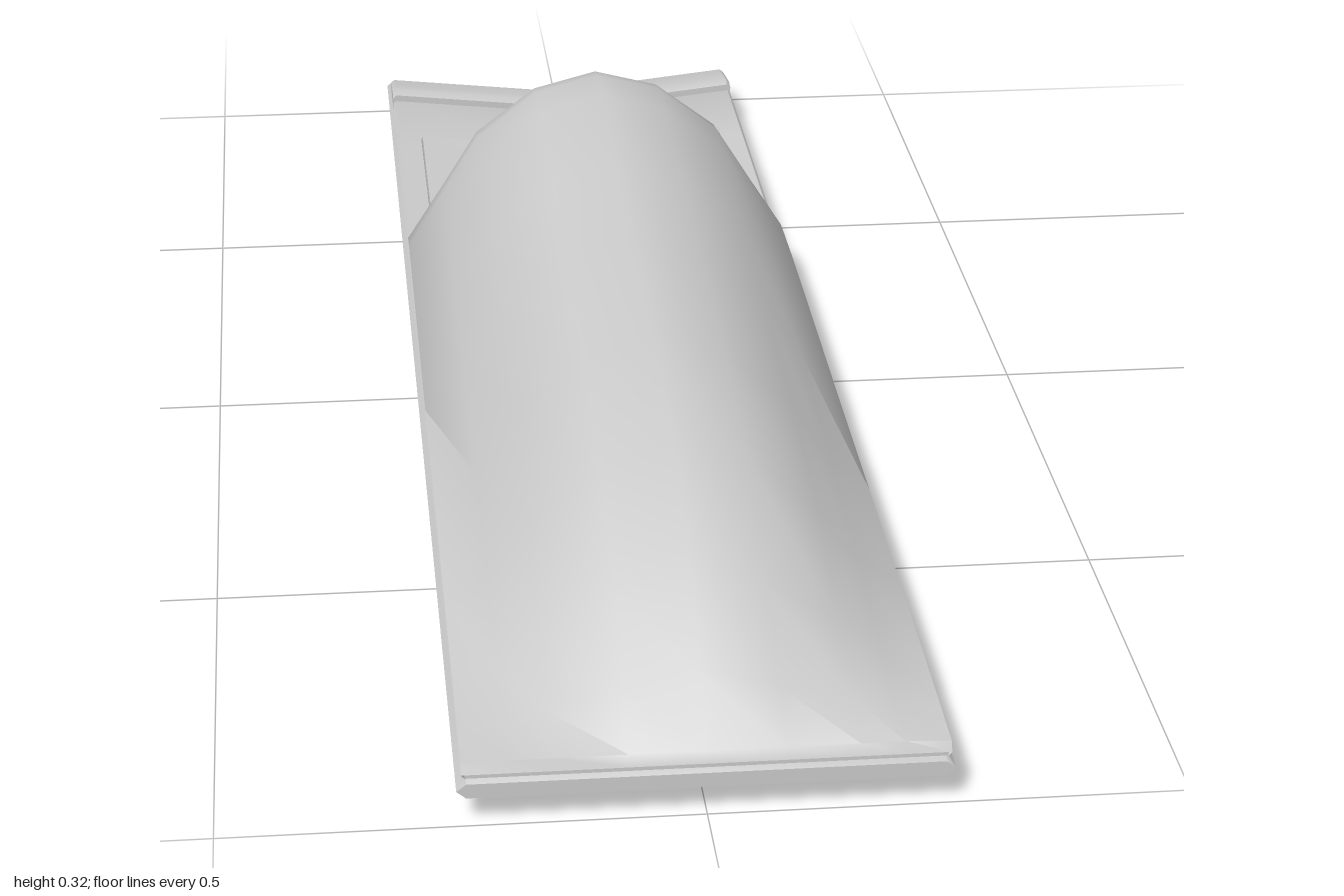
import * as THREE from 'three';
import { toCreasedNormals } from 'three/addons/utils/BufferGeometryUtils.js';

const material = new THREE.MeshStandardMaterial({ color: 0xcccccc, side: THREE.DoubleSide });

// The board is flat at the toe and sags to a shallow V towards the heel.
const sag = (x, z) => -0.027 * Math.min(1, (1 - z) / 1.15) * Math.max(0, 1 - Math.abs(x) / 0.25);

// Skins rows of points; rows run from +z to -z, points counterclockwise seen from +z.
function loft(name, rows, closed, crease) {
  const n = rows[0].length, index = [];
  for (let i = 0; i < rows.length - 1; i++) {
    for (let j = 0; j < (closed ? n : n - 1); j++) {
      const k = (j + 1) % n;
      const a = i * n + j, b = i * n + k, c = (i + 1) * n + k, d = (i + 1) * n + j;
      index.push(a, d, c, a, c, b);
    }
  }
  const geometry = new THREE.BufferGeometry();
  geometry.setAttribute('position', new THREE.Float32BufferAttribute(rows.flat(2), 3));
  geometry.setIndex(index);
  const mesh = new THREE.Mesh(toCreasedNormals(geometry, crease), material);
  mesh.name = name;
  return mesh;
}

// A thin bent slab with bevelled long edges and rounded ends.
function slab(name, w, y, h, z0, z1, bevel) {
  const section = [[-w + bevel, -1], [0, -1], [w - bevel, -1], [w, 0],
    [w - bevel, 1], [0, 1], [-w + bevel, 1], [-w, 0]];
  const row = (z, t) => section.map(([x, s]) => [x, y + sag(x, z) + s * h * t, z]);
  const rows = [row(z0, 0), row(z0, 0.6), row(z0 - bevel, 1)];
  for (let i = 1; i < 10; i++) rows.push(row(z0 + (z1 - z0) * i / 10, 1));
  rows.push(row(z1 + bevel, 1), row(z1, 0.6), row(z1, 0));
  return loft(name, rows, true, 0.75);
}

// Raised lip across the heel, sloping down to the back edge.
function heelLip() {
  const profile = [[-0.885, 0.045], [-0.885, 0.07], [-0.9, 0.073], [-0.93, 0.068],
    [-0.975, 0.06], [-0.995, 0.052], [-1, 0.04], [-0.98, 0.035]];
  const xs = [-0.25, -0.245, 0, 0.245, 0.25];
  const rows = profile.map(([z, y]) => xs.map((x) =>
    [x, y + sag(x, z) - (Math.abs(x) > 0.247 ? 0.005 : 0), z]).reverse());
  const lip = new THREE.Group();
  lip.name = 'heelLip';
  lip.add(loft('heelLipTop', rows, false, 0.8));
  // end faces of the lip
  for (const j of [0, 4]) {
    const side = rows.map((r) => [r[j], [r[j][0], 0.035, r[j][2]]]);
    lip.add(loft('heelLipEnd', side, false, 0.5));
  }
  return lip;
}

// Arched cover, open at the back, with a turned-in rim.
function cover() {
  // z, then heights at the crown, upper shoulder, lower shoulder, flank, and skirt
  const stations = [
    [1, 0.06, 0.06, 0.06, 0.06, 0.06],
    [0.995, 0.072, 0.072, 0.072, 0.072, 0.07],
    [0.93, 0.125, 0.105, 0.088, 0.076, 0.072],
    [0.83, 0.2, 0.17, 0.125, 0.085, 0.074],
    [0.67, 0.255, 0.232, 0.17, 0.105, 0.076],
    [0.45, 0.28, 0.257, 0.193, 0.12, 0.078],
    [0.2, 0.294, 0.272, 0.21, 0.138, 0.08],
    [0, 0.307, 0.286, 0.226, 0.152, 0.083],
    [-0.2, 0.325, 0.303, 0.243, 0.165, 0.085],
    [-0.29, 0.317, 0.296, 0.236, 0.16, 0.084],
    [-0.32, 0.311, 0.29, 0.231, 0.157, 0.083],
  ];
  const xs = [0, 0.08, 0.157, 0.203, 0.25];
  const row = ([z, ...ys], sx = 1, drop = 0) => {
    const half = xs.map((x, i) => [x * sx, ys[i] - drop, z]);
    half.push([0.246 * sx, 0.055, z]);
    const mirrored = half.slice(1).map(([x, y]) => [-x, y, z]);
    return [...half.reverse(), ...mirrored];
  };
  const rows = stations.map((s) => row(s));
  // rim, then the lining running forward inside
  const last = stations[stations.length - 1];
  rows.push(row([-0.328, ...last.slice(1)], 0.98, 0.006));
  rows.push(row([-0.325, ...last.slice(1)], 0.94, 0.014));
  for (const s of stations.slice(4, 10).reverse()) rows.push(row(s, 0.93, 0.016));
  return loft('cover', rows, false, 0.9);
}

export function createModel() {
  const model = new THREE.Group();
  model.name = 'slipper';
  model.add(
    slab('sole', 0.255, 0.041, 0.0135, 1, -1, 0.01),
    slab('midsole', 0.25, 0.056, 0.005, 0.995, -0.9, 0.004),
    slab('insole', 0.215, 0.061, 0.006, 0.9, -0.735, 0.002),
    heelLip(),
    cover(),
  );
  return model;
}
